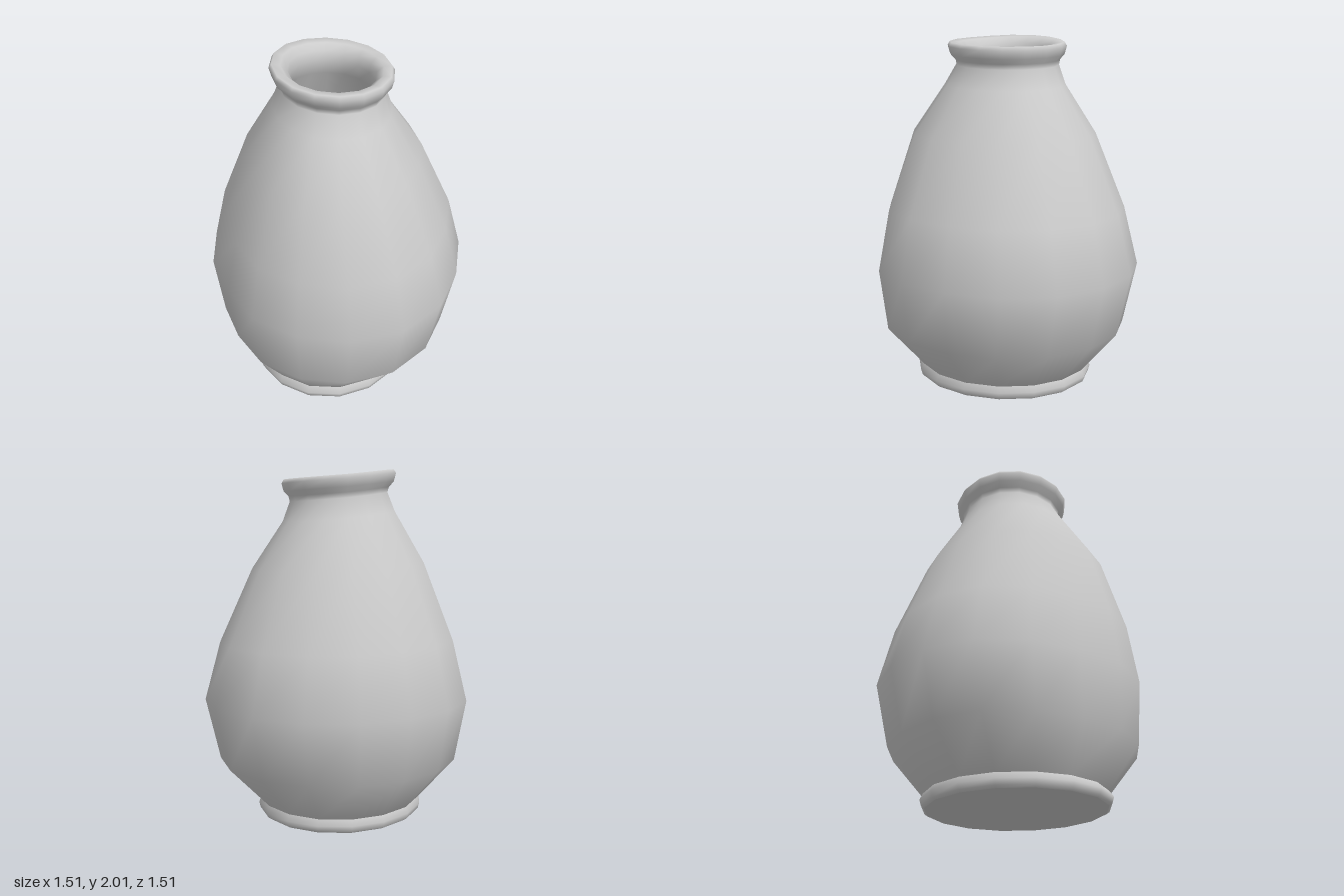
import * as THREE from 'three';

const SIDES = 16;

// Hand-thrown unevenness: radius factor at each of the sixteen sides, from +x towards +z
const WOBBLE = [0.995, 1.02, 1.035, 1.015, 0.99, 0.97, 0.925, 0.96, 1.0, 0.985, 0.975, 0.99, 1.0, 1.02, 1.045, 1.03];

// Skin a stack of rings: [height, x radius, z radius, z centre, wobble share, tilt share]
function skin(rings) {
  const positions = [];
  const index = [];
  rings.forEach(([y, rx, rz, cz, wobble, tilt], r) => {
    for (let i = 0; i < SIDES; i++) {
      const a = (i / SIDES) * Math.PI * 2;
      const k = 1 + (WOBBLE[i] - 1) * wobble;
      const x = Math.cos(a) * rx * k;
      const z = Math.sin(a) * rz * k + cz;
      const bump = rx > 0 ? 0.012 * Math.max(0, -Math.cos(a)) ** 3 : 0;
      positions.push(x, y + tilt * (-0.065 * x + 0.035 * z + bump), z);
      if (r === 0) continue;
      const low = (r - 1) * SIDES;
      const high = r * SIDES;
      const n = (i + 1) % SIDES;
      index.push(low + i, high + i, low + n, high + i, high + n, low + n);
    }
  });
  const geometry = new THREE.BufferGeometry();
  geometry.setAttribute('position', new THREE.Float32BufferAttribute(positions, 3));
  geometry.setIndex(index);
  geometry.computeVertexNormals();
  return geometry;
}

export function createModel() {
  const group = new THREE.Group();
  group.name = 'vase';
  const material = new THREE.MeshStandardMaterial({ color: 0xcccccc, side: THREE.DoubleSide });

  const add = (name, rings) => {
    const mesh = new THREE.Mesh(skin(rings), material);
    mesh.name = name;
    group.add(mesh);
  };

  // Flat underside
  add('base', [
    [0, 0, 0, 0.045, 0, 0],
    [0, 0.462, 0.505, 0.045, 0, 0],
  ]);

  // Rounded foot ring
  add('foot', [
    [0, 0.462, 0.505, 0.045, 0, 0],
    [0.012, 0.478, 0.522, 0.045, 0, 0],
    [0.045, 0.487, 0.532, 0.045, 0, 0],
    [0.08, 0.472, 0.51, 0.042, 0, 0],
  ]);

  // Belly, shoulder, neck, rolled rim and the inside wall in one smooth skin
  add('body', [
    [0.08, 0.472, 0.51, 0.042, 0, 0],
    [0.33, 0.69, 0.705, 0.027, 0.8, 0],
    [0.69, 0.758, 0.758, 0, 1, 0],
    [1.03, 0.672, 0.69, 0.015, 1, 0.1],
    [1.46, 0.495, 0.535, 0.035, 0.7, 0.4],
    [1.735, 0.325, 0.35, 0.03, 0.3, 1],
    [1.845, 0.284, 0.296, 0.017, 0, 1],
    [1.875, 0.292, 0.302, 0.017, 0, 1],
    [1.905, 0.32, 0.33, 0.02, 0, 1],
    [1.95, 0.332, 0.343, 0.02, 0, 1],
    [1.972, 0.318, 0.33, 0.02, 0, 1],
    [1.966, 0.272, 0.282, 0.018, 0, 1],
    [1.935, 0.236, 0.246, 0.018, 0, 1],
    [1.88, 0.228, 0.238, 0.018, 0, 1],
    [1.8, 0.235, 0.245, 0.018, 0, 1],
    [1.44, 0.43, 0.465, 0.03, 0.7, 0.4],
    [1.03, 0.61, 0.63, 0.015, 1, 0.1],
    [0.69, 0.695, 0.695, 0, 1, 0],
    [0.36, 0.625, 0.64, 0.027, 0.8, 0],
    [0.12, 0.42, 0.455, 0.042, 0, 0],
  ]);

  // Floor inside the vase
  add('floor', [
    [0.12, 0.42, 0.455, 0.042, 0, 0],
    [0.12, 0, 0, 0.042, 0, 0],
  ]);

  return group;
}
